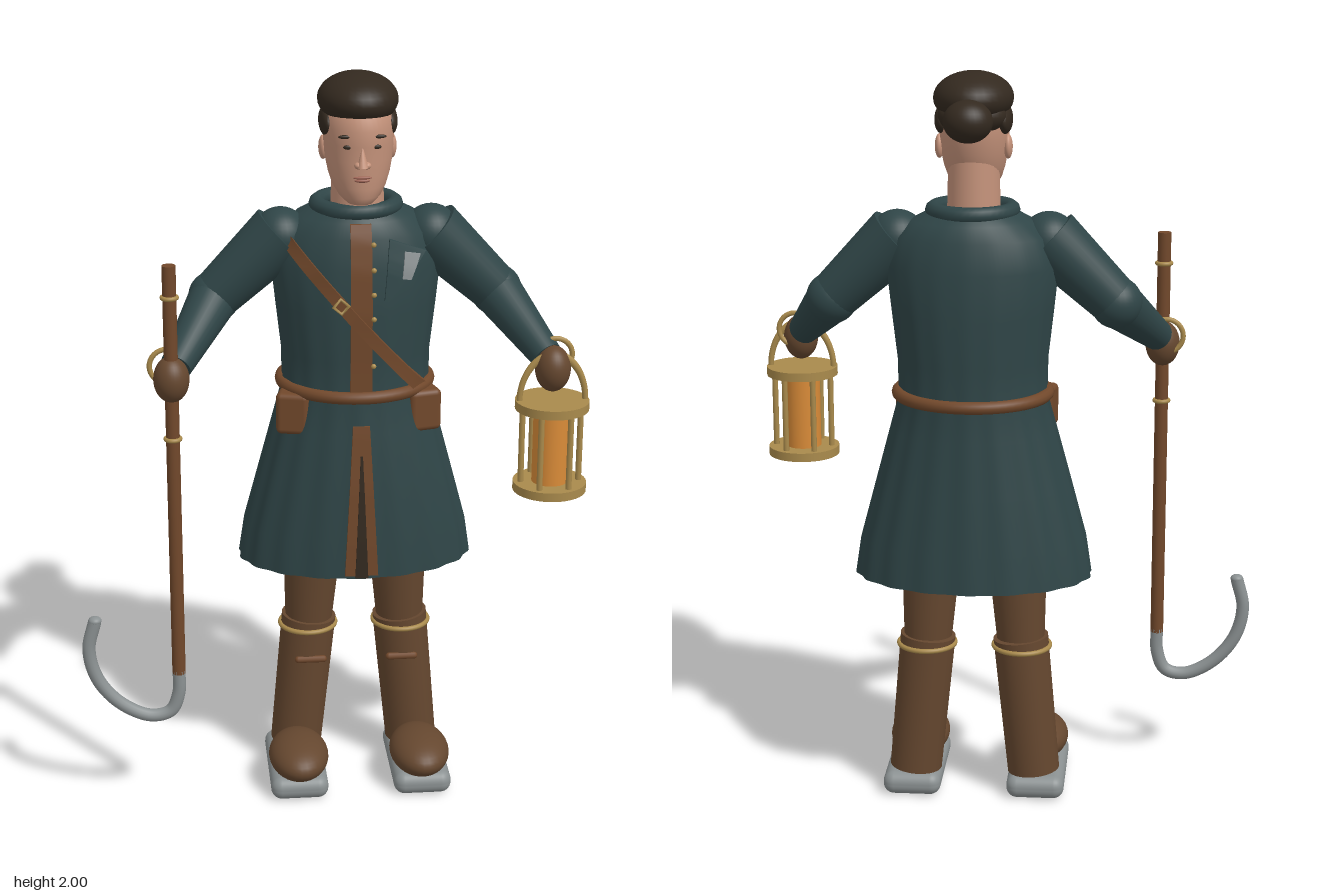
import * as THREE from 'three';
import { toCreasedNormals } from 'three/addons/utils/BufferGeometryUtils.js';
import { RoundedBoxGeometry } from 'three/addons/geometries/RoundedBoxGeometry.js';

const mat = (name, color, side = THREE.FrontSide) => {
  const m = new THREE.MeshStandardMaterial({ color, side });
  m.name = name;
  return m;
};
const V = (x, y, z) => new THREE.Vector3(x, y, z);

// Skin between closed rings of points, listed from bottom to top
function loft(rings) {
  const n = rings[0].length, idx = [];
  for (let i = 0; i < rings.length - 1; i++) {
    for (let j = 0; j < n; j++) {
      const k = (j + 1) % n, a = i * n + j, b = i * n + k;
      idx.push(a, b, a + n, b, b + n, a + n);
    }
  }
  const g = new THREE.BufferGeometry().setFromPoints(rings.flat());
  g.setIndex(idx);
  g.computeVertexNormals();
  return g;
}

// Rows are [y, half width, front z, back z]
function ovalRings(rows, n, fold = () => 1) {
  return rows.map(([y, rx, zf, zb]) => Array.from({ length: n }, (_, j) => {
    const t = j / n * Math.PI * 2, f = fold(y, t);
    return V(Math.sin(t) * rx * f, y, (zf + zb) / 2 + Math.cos(t) * (zf - zb) / 2 * f);
  }));
}

const COAT = [
  [0.65, 0.32, 0.15, -0.265], [0.75, 0.305, 0.148, -0.257], [0.9, 0.265, 0.14, -0.243],
  [1.05, 0.225, 0.126, -0.228], [1.15, 0.198, 0.112, -0.22], [1.25, 0.2, 0.113, -0.222],
  [1.38, 0.215, 0.116, -0.225], [1.5, 0.228, 0.108, -0.22], [1.58, 0.205, 0.092, -0.205],
  [1.62, 0.16, 0.075, -0.185], [1.65, 0.1, 0.05, -0.15],
];

// Front surface of the coat at a given x and y
function coatZ(x, y) {
  let i = 0;
  while (i < COAT.length - 2 && y > COAT[i + 1][0]) i++;
  const f = THREE.MathUtils.clamp((y - COAT[i][0]) / (COAT[i + 1][0] - COAT[i][0]), 0, 1);
  const [, rx, zf, zb] = COAT[i].map((v, k) => v + (COAT[i + 1][k] - v) * f);
  return (zf + zb) / 2 + (zf - zb) / 2 * Math.sqrt(Math.max(0, 1 - (x / rx) ** 2));
}

// Flat band lying on the coat from (x0,y0) to (x1,y1)
function band(x0, y0, x1, y1, w0, w1, lift, n = 24) {
  const d = new THREE.Vector2(x1 - x0, y1 - y0).normalize(), rings = [];
  for (let i = 0; i <= n; i++) {
    const t = i / n, w = (w0 + (w1 - w0) * t) / 2;
    const x = x0 + (x1 - x0) * t, y = y0 + (y1 - y0) * t;
    const at = (s, l) => {
      const px = x + s * w * d.y, py = y - s * w * d.x;
      return V(px, py, coatZ(px, py) + l);
    };
    rings.push([at(-1, lift), at(1, lift), at(1, -0.01), at(-1, -0.01)]);
  }
  const cap = (r) => r.map(() => r.reduce((s, p) => s.add(p), V(0, 0, 0)).divideScalar(4));
  return toCreasedNormals(loft([cap(rings[0]), ...rings, cap(rings[n])]), 0.6);
}

export function createModel() {
  const root = new THREE.Group();
  root.name = 'lanternKeeper';
  const body = new THREE.Group();
  body.name = 'body';
  body.position.x = 0.08;
  root.add(body);

  const coat = mat('coat teal', 0x2f4547, THREE.DoubleSide);
  const leather = mat('boot brown', 0x65472f);
  const strap = mat('strap brown', 0x71482b);
  const brass = mat('brass', 0xa98a4c);
  const steel = mat('steel', 0x8b9192);
  const skin = mat('skin', 0xc4927a);
  const hair = mat('dark hair', 0x33291f);
  const amber = mat('amber glass', 0xd98b38);
  const lip = mat('lips', 0x9c6253);

  const add = (name, geo, m, x = 0, y = 0, z = 0) => {
    const mesh = new THREE.Mesh(geo, m);
    mesh.name = name;
    mesh.position.set(x, y, z);
    body.add(mesh);
    return mesh;
  };
  const ball = (name, m, x, y, z, rx, ry, rz) =>
    add(name, new THREE.SphereGeometry(1, 32, 20).scale(rx, ry, rz), m, x, y, z);
  const limb = (name, m, a, b, ra, rb) => {
    const dir = b.clone().sub(a);
    const mesh = add(name, new THREE.CylinderGeometry(rb, ra, dir.length(), 28), m);
    mesh.position.copy(a).addScaledVector(dir, 0.5);
    mesh.quaternion.setFromUnitVectors(V(0, 1, 0), dir.normalize());
    return mesh;
  };
  const hoop = (name, m, r, tube, x, y, z) =>
    add(name, new THREE.TorusGeometry(r, tube, 10, 40).rotateX(Math.PI / 2), m, x, y, z);

  // Coat with soft folds in the skirt
  const fold = (y, t) => 1 + 0.012 * Math.cos(18 * t) * THREE.MathUtils.clamp((1.7 - y) * 1.2, 0, 1);
  add('coat', loft(ovalRings(COAT, 108, fold)), coat);
  hoop('collar', coat, 0.103, 0.022, 0, 1.645, -0.05);
  add('placket', band(0, 1.16, 0, 1.62, 0.058, 0.055, 0.008), strap);
  add('skirtTrim', band(0, 0.66, 0, 1.08, 0.09, 0.045, 0.007), strap);
  add('skirtSlit', band(0, 0.655, 0, 1.0, 0.035, 0.006, 0.01), hair);
  for (let i = 0; i < 6; i++) {
    const y = 1.57 - i * 0.065;
    ball('button', brass, 0.032, y, coatZ(0.032, y) + 0.008, 0.007, 0.007, 0.006);
  }
  add('lapel', band(0.065, 1.42, 0.125, 1.56, 0.01, 0.11, 0.012), coat);
  add('breastPatch', band(0.12, 1.475, 0.137, 1.54, 0.025, 0.045, 0.017, 6), steel);

  // Cross strap, belt and pouches
  add('crossStrap', band(0.17, 1.16, -0.195, 1.575, 0.032, 0.032, 0.022), strap);
  const buckle = add('strapBuckle', new THREE.TorusGeometry(0.02, 0.005, 6, 4), brass,
    -0.055, 1.415, coatZ(-0.055, 1.415) + 0.024);
  buckle.rotation.z = 0.07;
  add('belt', new THREE.TorusGeometry(1, 0.085, 12, 64).rotateX(Math.PI / 2).scale(0.2, 0.2, 0.183),
    strap, 0, 1.158, -0.062);

  for (const s of [-1, 1]) {
    const pouch = add('pouch', new RoundedBoxGeometry(0.09, 0.115, 0.075, 3, 0.015), strap, s * 0.172, 1.098, 0.035);
    pouch.rotation.y = s * 0.25;

    // Arm
    const shoulder = V(s * 0.2, 1.57, -0.04), elbow = V(s * 0.378, 1.4, -0.04);
    const wrist = V(s * 0.487, 1.27, 0.145);
    ball('shoulder', coat, s * 0.2, 1.565, -0.04, 0.075, 0.075, 0.078);
    limb('upperArm', coat, shoulder, elbow, 0.085, 0.066);
    ball('elbow', coat, elbow.x, elbow.y, elbow.z, 0.069, 0.069, 0.069);
    limb('forearm', coat, elbow, wrist, 0.067, 0.042);
    ball('glove', leather, s * 0.5, 1.243, 0.168, 0.047, 0.062, 0.05);
    add('cuffRing', new THREE.TorusGeometry(0.046, 0.007, 8, 32), brass, s * 0.51, 1.27, 0.14);

    // Leg, boot and sole
    const knee = V(s * 0.128, 0.46, -0.05), ankle = V(s * 0.165, 0.07, -0.055);
    limb('trouserLeg', leather, knee, V(s * 0.105, 0.98, -0.03), 0.066, 0.1);
    limb('bootShaft', leather, ankle, knee, 0.072, 0.076);
    hoop('bootRing', brass, 0.077, 0.007, s * 0.131, 0.435, -0.05);
    const tab = add('bootStrap', new THREE.CapsuleGeometry(0.01, 0.07, 4, 10), strap, s * 0.128, 0.35, 0.02);
    tab.rotation.z = Math.PI / 2;
    ball('bootToe', leather, s * 0.17, 0.1, 0.107, 0.083, 0.056, 0.127);
    add('sole', new RoundedBoxGeometry(0.16, 0.065, 0.33, 4, 0.03), steel, s * 0.172, 0.033, 0.037);

    // Face details
    ball('ear', skin, s * 0.09, 1.805, -0.015, 0.012, 0.032, 0.022);
    ball('sideHair', hair, s * 0.082, 1.875, -0.01, 0.02, 0.038, 0.07);
    ball('brow', hair, s * 0.044, 1.857, 0.106, 0.018, 0.005, 0.006);
    ball('eye', hair, s * 0.036, 1.83, 0.106, 0.013, 0.006, 0.005);
    ball('nostril', skin, s * 0.011, 1.785, 0.12, 0.011, 0.009, 0.012);
  }

  // Head, neck and hair
  add('neck', new THREE.CylinderGeometry(0.066, 0.072, 0.2, 32).scale(1, 1, 1.1), skin, 0, 1.7, -0.015);
  add('head', loft(ovalRings([
    [1.672, 0.01, 0.08, 0.06], [1.676, 0.035, 0.1, 0], [1.695, 0.055, 0.112, -0.03], [1.72, 0.07, 0.113, -0.06],
    [1.75, 0.08, 0.116, -0.08], [1.79, 0.088, 0.116, -0.095], [1.83, 0.091, 0.117, -0.105],
    [1.87, 0.092, 0.12, -0.11], [1.92, 0.085, 0.105, -0.105], [1.96, 0.05, 0.05, -0.07],
  ], 40)), skin);
  const nose = add('nose', new THREE.ConeGeometry(0.015, 0.06, 16).scale(1, 1, 1.3), skin, 0, 1.808, 0.118);
  nose.rotation.x = -0.2;
  ball('upperLip', lip, 0, 1.752, 0.114, 0.024, 0.004, 0.006);
  ball('lowerLip', lip, 0, 1.744, 0.113, 0.02, 0.005, 0.007);
  ball('hairCap', hair, 0, 1.932, -0.013, 0.105, 0.068, 0.136);
  ball('hairBack', hair, 0, 1.89, -0.06, 0.09, 0.05, 0.065);
  ball('hairBun', hair, 0, 1.89, -0.175, 0.064, 0.055, 0.06);

  // Hooked staff
  const sx = -0.5, sz = 0.172;
  add('staff', new THREE.CylinderGeometry(0.018, 0.018, 1.15, 20), strap, sx, 0.975, sz);
  for (const y of [1.08, 1.465]) hoop('staffRing', brass, 0.019, 0.006, sx, y, sz);
  const hook = new THREE.CatmullRomCurve3([
    [-0.5, 0.41], [-0.502, 0.34], [-0.525, 0.287], [-0.58, 0.275], [-0.66, 0.315],
    [-0.72, 0.39], [-0.741, 0.48], [-0.722, 0.565],
  ].map(([x, y]) => V(x, y, sz)));
  add('hook', new THREE.TubeGeometry(hook, 60, 0.018, 14), steel);
  ball('hookTip', steel, -0.722, 0.565, sz, 0.018, 0.012, 0.018);

  // Lantern
  const lx = 0.5, lz = 0.175;
  for (const y of [0.918, 1.147])
    add('lanternPlate', new THREE.CylinderGeometry(0.098, 0.098, 0.024, 40), brass, lx, y, lz);
  add('lanternGlass', new THREE.CylinderGeometry(0.048, 0.048, 0.21, 28), amber, lx, 1.033, lz);
  for (let i = 0; i < 6; i++) {
    const a = i * Math.PI / 3;
    add('lanternPost', new THREE.CylinderGeometry(0.008, 0.008, 0.22, 10), brass,
      lx + Math.cos(a) * 0.078, 1.033, lz + Math.sin(a) * 0.078);
  }
  add('lanternHandle', new THREE.TorusGeometry(0.088, 0.008, 10, 36, Math.PI).scale(1, 1.45, 1), brass, lx, 1.155, lz);

  return root;
}
